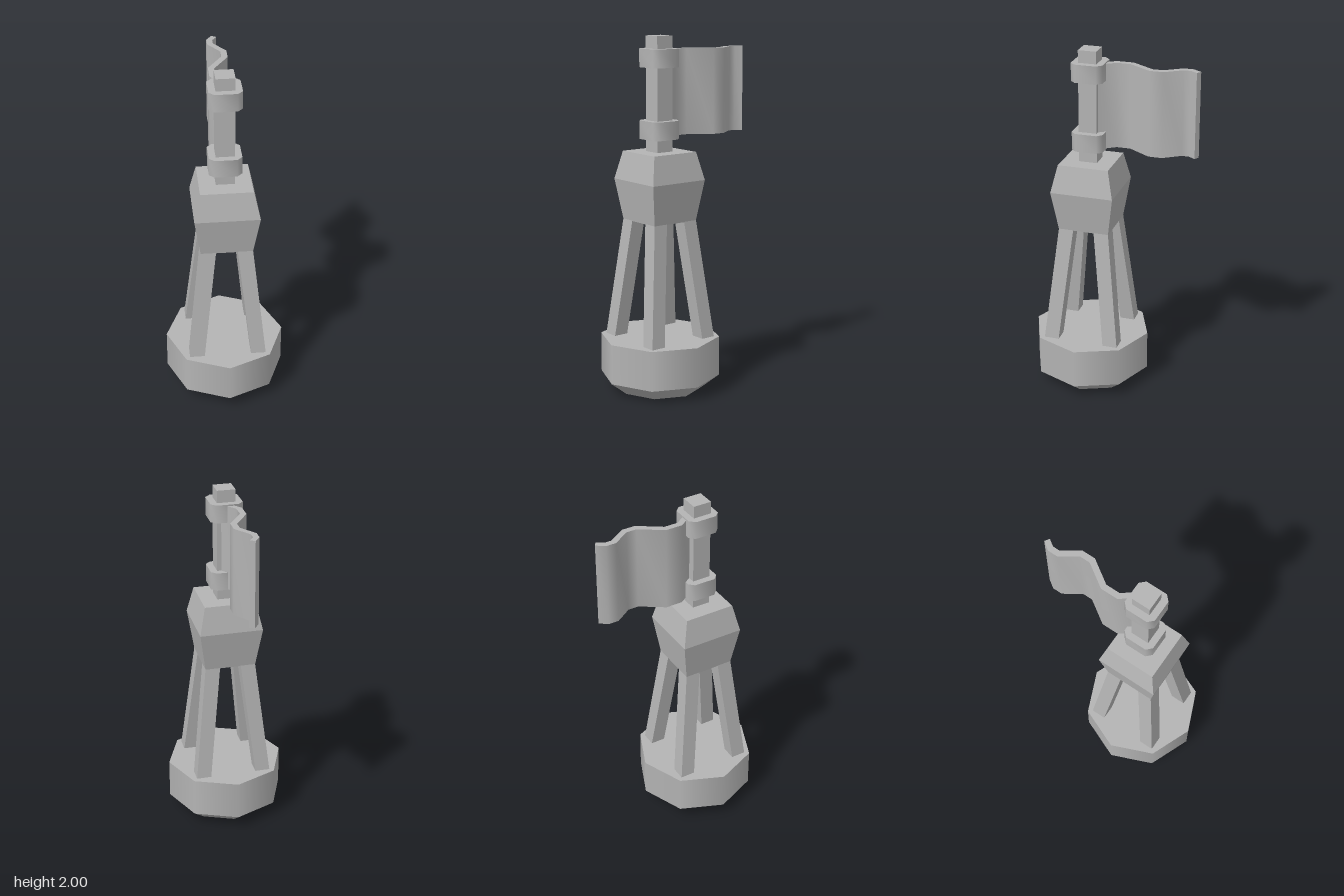
import * as THREE from 'three';
import { toCreasedNormals } from 'three/addons/utils/BufferGeometryUtils.js';

const SOFT = 0.87; // crease angle that rounds 45 degree corners
const FLAT = 0.05;

export function createModel() {
  const group = new THREE.Group();
  const grey = new THREE.MeshStandardMaterial({ color: 0xb4b4b4 });
  grey.name = 'grey';

  // the buoy stands forward of the centre, the flag trails behind it
  const buoy = new THREE.Group();
  buoy.name = 'buoy';
  buoy.position.z = 0.136;
  group.add(buoy);

  const add = (name, geometry, parent = buoy) => {
    const mesh = new THREE.Mesh(geometry, grey);
    mesh.name = name;
    parent.add(mesh);
    return mesh;
  };

  // plan outline of [x, z] points raised from y0 to y1
  const prism = (points, y0, y1) => {
    const shape = new THREE.Shape(points.map(([x, z]) => new THREE.Vector2(x, -z)));
    const g = new THREE.ExtrudeGeometry(shape, { depth: y1 - y0, bevelEnabled: false });
    g.rotateX(-Math.PI / 2).translate(0, y0, 0);
    return toCreasedNormals(g, SOFT);
  };

  // eight-sided float with a tapered underside
  add('float', new THREE.CylinderGeometry(0.34, 0.34, 0.227, 8)).position.y = 0.1915;
  add('floatUnderside', new THREE.CylinderGeometry(0.34, 0.24, 0.078, 8)).position.y = 0.039;

  // four square legs leaning inwards
  for (const sx of [-1, 1]) {
    for (const sz of [-1, 1]) {
      const g = new THREE.BoxGeometry(0.085, 0.69, 0.085);
      const p = g.attributes.position;
      for (let i = 0; i < p.count; i++) {
        const centre = p.getY(i) > 0 ? 0.1025 : 0.178;
        p.setX(i, p.getX(i) + sx * centre);
        p.setZ(i, p.getZ(i) + sz * centre);
      }
      add('leg', toCreasedNormals(g, FLAT)).position.y = 0.635;
    }
  }

  // square head, widest in the middle
  const headProfile = [[0, 0.975], [0.145, 0.975], [0.18, 1.205], [0.145, 1.362], [0, 1.362]]
    .map(([half, y]) => new THREE.Vector2(half * Math.SQRT2, y));
  add('head', toCreasedNormals(new THREE.LatheGeometry(headProfile, 4, Math.PI / 4), FLAT));

  // pole
  add('pole', new THREE.BoxGeometry(0.104, 0.64, 0.104)).position.y = 1.68;

  // two collars with cut corners
  const a = 0.09, b = 0.061;
  const collar = [[a, b], [b, a], [-b, a], [-a, b], [-a, -b], [-b, -a], [b, -a], [a, -b]];
  add('lowerCollar', prism(collar, 1.432, 1.535));
  add('upperCollar', prism(collar, 1.828, 1.93));

  // waving flag: one side out from the pole, the other side back
  const flag = [
    [-0.002, 0.095], [-0.067, 0.005], [-0.067, -0.092], [0.018, -0.22], [0.018, -0.279],
    [-0.046, -0.374], [-0.046, -0.431], [-0.013, -0.478],
    [0.013, -0.461], [-0.013, -0.423], [-0.013, -0.383], [0.052, -0.288], [0.052, -0.211],
    [-0.034, -0.083], [-0.034, -0.004], [0.036, 0.095],
  ];
  add('flag', prism(flag, 1.436, 1.922), group);

  return group;
}
